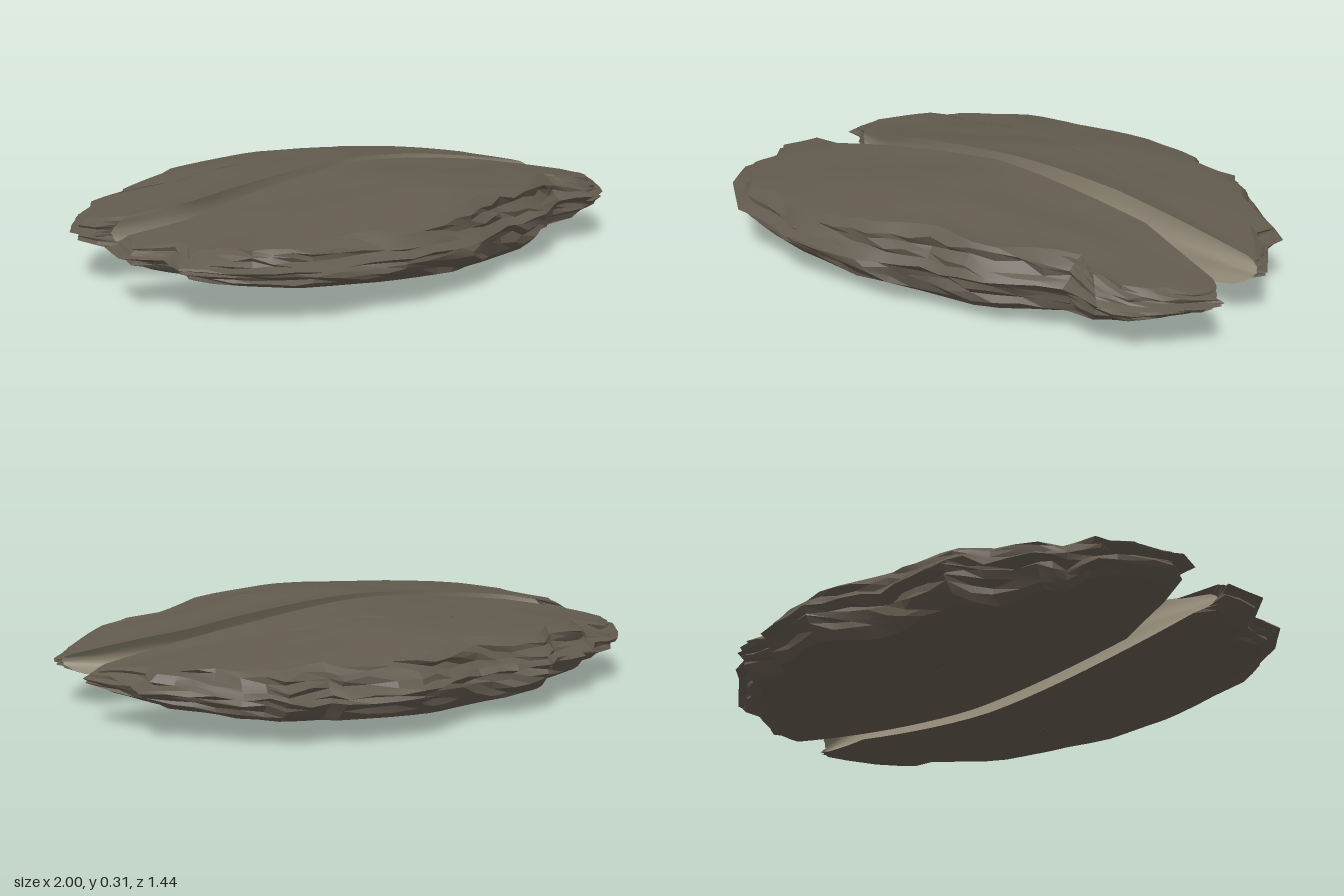
import * as THREE from 'three';
import { toCreasedNormals } from 'three/addons/utils/BufferGeometryUtils.js';

const MID = 0.158;
const { clamp, lerp } = THREE.MathUtils;

// repeatable pseudo-random value in 0..1
const hash = (a, b, c = 0) => {
  const s = Math.sin(a * 127.1 + b * 311.7 + c * 74.7) * 43758.5453;
  return s - Math.floor(s);
};

// bumps with straight slopes between the nodes of a plan grid
function bumps(x, z, seed) {
  const u = x * 5 + z * 1.5, v = z * 7 - x;
  const i = Math.floor(u), j = Math.floor(v);
  const row = k => lerp(hash(i, k, seed), hash(i + 1, k, seed), u - i);
  return lerp(row(j), row(j + 1), v - j);
}

// half thickness of the lens-shaped stone at a plan position
const halfThickness = (x, z) =>
  0.157 * Math.max(0.22, 1 - 0.87 * Math.abs(x) ** 1.55) *
  Math.max(0.42, 1 - 0.6 * (Math.abs(z) / 0.72) ** 3);

// split an outline edge list into short steps
function densify(points, step, inner) {
  const out = [];
  for (let i = 0; i < points.length - 1; i++) {
    const [x0, z0] = points[i], [x1, z1] = points[i + 1];
    const n = Math.max(1, Math.round(Math.hypot(x1 - x0, z1 - z0) / step));
    for (let k = 0; k < n; k++) {
      const f = k / n;
      out.push({ x: lerp(x0, x1, f), z: lerp(z0, z1, f), inner });
    }
  }
  return out;
}

// wall heights (1 = upper edge, -1 = lower edge), edge inset and raggedness
const LAYERS = [
  [1, 0.055, 0.05], [0.82, 0.025, 0.055], [0.62, 0.015, 0.055], [0.42, 0, 0.06],
  [0.24, 0, 0.05], [0.06, 0, 0], [-0.14, 0, 0.06], [-0.34, 0, 0.05],
  [-0.56, 0.015, 0.055], [-0.78, 0.025, 0.055], [-1, 0.06, 0.05],
];
const FACE_SCALES = [0.12, 0.3, 0.46, 0.6, 0.74, 0.88];

// returns the weathered outside and the split wall as two geometries
function slabGeometries({ outer, cut, centre, side, recess, lip, seed }) {
  const loop = [...densify(outer, 0.07, false), ...densify(cut, 0.08, true)];
  if (side < 0) loop.reverse();
  const n = loop.length;

  // stacked strata rings: ragged outside, hollowed along the split
  const walls = LAYERS.map(([t, inset, rough], layer) => loop.map((p, i) => {
    const dx = clamp(p.x, -0.6, 0.6) - p.x, dz = centre[1] - p.z;
    const len = Math.hypot(dx, dz);
    const chip = 0.6 * hash(Math.floor((i + layer) / 3), layer, seed) + 0.4 * hash(i, layer, seed + 5);
    const d = inset + rough * (p.inner ? 0.2 : chip);
    const x = p.x + (dx / len) * d;
    const z = p.inner
      ? p.z + side * (recess * (1 - t * t) + lip(p.x) * Math.max(t, 0))
      : p.z + (dz / len) * d;
    const wobble = p.inner || Math.abs(t) === 1 ? 0 : 0.15 * (hash(i, layer, seed + 9) - 0.5);
    return [x, MID + (t + wobble) * halfThickness(x, z), z];
  }));

  // broad faces: the edge ring scaled inwards over the dome, with shallow bumps
  const faceRing = (edge, s, dir) => edge.map(([ex, , ez]) => {
    const x = lerp(centre[0], ex, s), z = lerp(centre[1], ez, s);
    const dent = 0.022 * bumps(x, z, seed + dir) * Math.min(1, 3 * (1 - s));
    return [x, MID + dir * (halfThickness(x, z) - dent), z];
  });
  const rings = [
    ...FACE_SCALES.map(s => faceRing(walls[0], s, 1)),
    ...walls,
    ...FACE_SCALES.map(s => faceRing(walls[walls.length - 1], s, -1)).reverse(),
  ];

  const position = rings.flat(2), rough = [], split = [];
  const firstWall = FACE_SCALES.length, lastWall = firstWall + LAYERS.length - 1;
  for (let r = 0; r < rings.length - 1; r++) {
    for (let i = 0; i < n; i++) {
      const j = (i + 1) % n;
      const a = r * n + i, b = r * n + j, c = b + n, d = a + n;
      const onSplit = r >= firstWall && r < lastWall && loop[i].inner && loop[j].inner;
      (onSplit ? split : rough).push(a, d, c, a, c, b);
    }
  }
  // close the middle of both faces
  const top = rings.length * n, last = (rings.length - 1) * n;
  const h = halfThickness(...centre) - 0.011;
  position.push(centre[0], MID + h, centre[1], centre[0], MID - h, centre[1]);
  for (let i = 0; i < n; i++) {
    const j = (i + 1) % n;
    rough.push(top, i, j, top + 1, last + j, last + i);
  }
  const build = (index, crease) => {
    const g = new THREE.BufferGeometry();
    g.setAttribute('position', new THREE.Float32BufferAttribute(position, 3));
    g.setIndex(index);
    return toCreasedNormals(g, crease);
  };
  return [build(rough, 0.3), build(split, 0.9)];
}

const FRONT = {
  outer: [[-0.97, 0.05], [-1, 0.2], [-0.91, 0.3], [-0.93, 0.42], [-0.84, 0.54], [-0.62, 0.68],
    [-0.45, 0.69], [-0.32, 0.72], [-0.15, 0.7], [-0.02, 0.68], [0.05, 0.64], [0.18, 0.59],
    [0.32, 0.57], [0.4, 0.54], [0.6, 0.41], [0.75, 0.43], [0.85, 0.38], [0.92, 0.3],
    [0.99, 0.2], [1, 0.15], [0.98, 0.1]],
  cut: [[0.98, 0.1], [0.6, 0.01], [0.25, 0.02], [-0.1, 0.03], [-0.97, 0.05]],
  centre: [-0.05, 0.3], side: 1, recess: 0.055, seed: 3,
  lip: x => 0.1 * clamp(-x * 1.2, 0, 1),
};

const BACK = {
  outer: [[-0.95, -0.1], [-0.97, -0.19], [-0.91, -0.3], [-0.83, -0.4], [-0.72, -0.42],
    [-0.65, -0.5], [-0.48, -0.54], [-0.4, -0.62], [-0.27, -0.63], [-0.14, -0.62], [0.11, -0.72],
    [0.35, -0.69], [0.38, -0.64], [0.52, -0.65], [0.56, -0.59], [0.63, -0.57], [0.7, -0.5],
    [0.88, -0.36], [0.88, -0.27], [0.98, -0.11], [0.96, -0.05]],
  cut: [[0.96, -0.05], [0, -0.03], [-0.63, -0.01], [-0.95, -0.1]],
  centre: [0, -0.3], side: -1, recess: 0.03, seed: 17,
  lip: x => 0.055 * clamp((x + 0.1) * 2, 0, 1),
};

export function createModel() {
  const group = new THREE.Group();
  group.name = 'splitStone';
  const crust = new THREE.MeshStandardMaterial({ color: 0x625a4e });
  const core = new THREE.MeshStandardMaterial({ color: 0x8f8674 });
  for (const [name, spec] of [['front', FRONT], ['back', BACK]]) {
    const [rough, split] = slabGeometries(spec);
    const slab = new THREE.Mesh(rough, crust);
    slab.name = `${name}Slab`;
    const wall = new THREE.Mesh(split, core);
    wall.name = `${name}SplitWall`;
    group.add(slab, wall);
  }
  return group;
}
